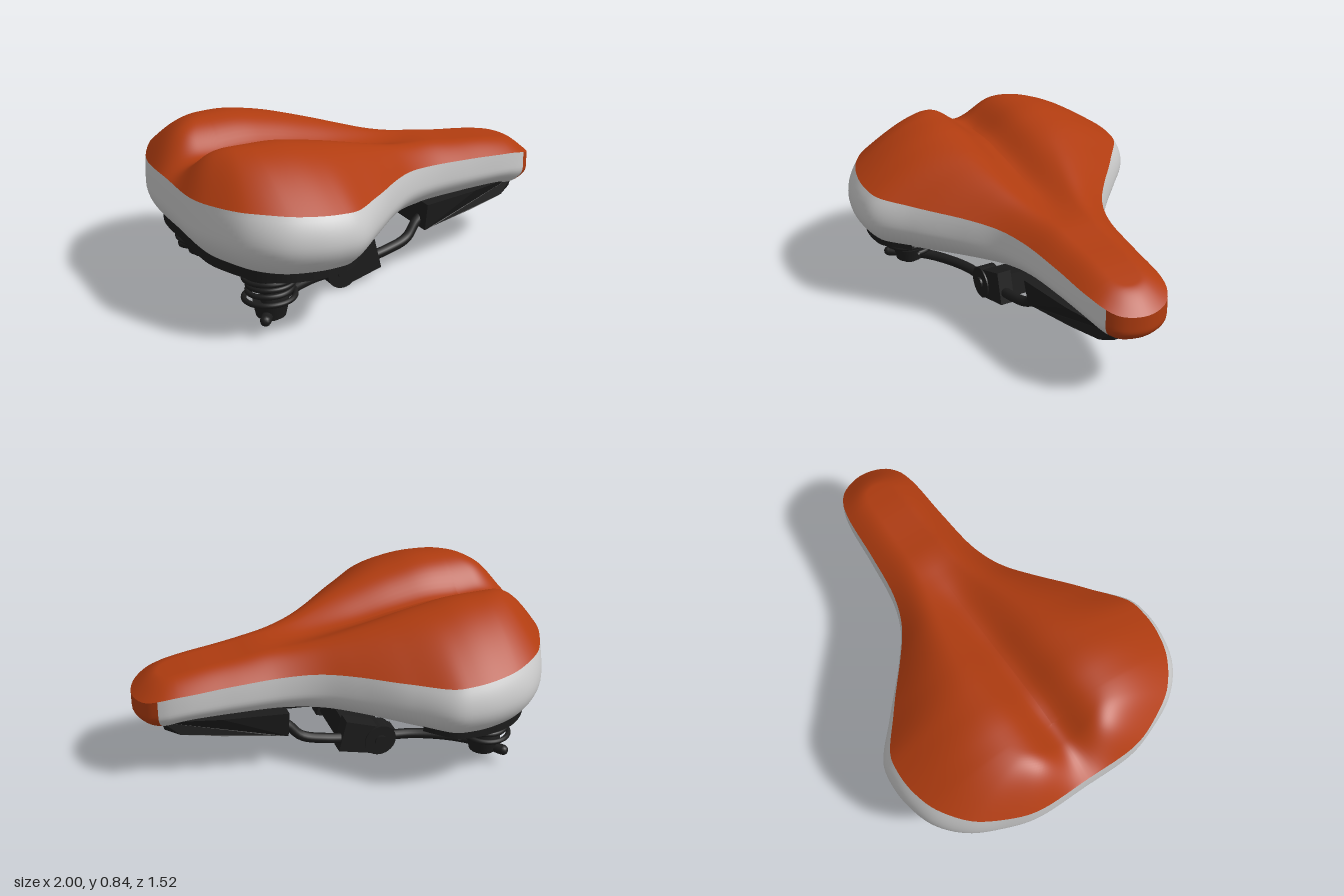
import * as THREE from 'three';

const paint = (color) => new THREE.MeshStandardMaterial({ color, side: THREE.DoubleSide });
const { lerp, clamp } = THREE.MathUtils;

// Linear lookup in a table of [x, value] pairs
function table(pairs, x) {
  let i = 1;
  while (i < pairs.length - 1 && x > pairs[i][0]) i++;
  const [a, b] = [pairs[i - 1], pairs[i]];
  return lerp(a[1], b[1], clamp((x - a[0]) / (b[0] - a[0]), 0, 1));
}

// Smooth lookup: averages the linear one over a small window
function smooth(pairs, x, r = 0.06) {
  let sum = 0;
  for (let k = -4; k <= 4; k++) sum += table(pairs, x + (k * r) / 4);
  return sum / 9;
}

// Plan outline of the saddle, tail to nose, mirrored across z
const HALF = [[-0.995, 0.28], [-0.95, 0.43], [-0.87, 0.59], [-0.75, 0.7], [-0.6, 0.75], [-0.47, 0.757],
  [-0.37, 0.735], [-0.2, 0.59], [0, 0.41], [0.15, 0.3], [0.3, 0.245], [0.55, 0.215], [0.8, 0.195],
  [0.9, 0.168], [0.965, 0.115]];
const outlinePoints = [[-1, 0], ...HALF, [1, 0], ...HALF.slice().reverse().map(([x, z]) => [x, -z])];
const N = 200;
const curve = new THREE.CatmullRomCurve3(outlinePoints.map(([x, z]) => new THREE.Vector3(x, 0, z)), true);
const outline = Array.from({ length: N }, (_, i) => {
  const p = curve.getPointAt(i / N), t = curve.getTangentAt(i / N);
  return { x: p.x, z: p.z, nx: t.z, nz: -t.x };
});

// Heights and insets along the length
const seamY = (x) => smooth([[-1, 0.645], [-0.85, 0.655], [-0.6, 0.635], [-0.3, 0.61], [0, 0.59], [0.3, 0.555],
  [0.6, 0.535], [0.85, 0.515], [0.93, 0.49], [1, 0.46]], x);
const ridgeY = (x) => smooth([[-0.7, 0.84], [-0.55, 0.838], [-0.3, 0.79], [0, 0.715], [0.3, 0.645], [0.5, 0.612],
  [0.7, 0.592], [0.85, 0.565], [0.95, 0.54]], x);
const grooveDepth = (x) => smooth([[-1, 0.12], [-0.7, 0.13], [-0.2, 0.1], [0.1, 0.06], [0.35, 0]], x);
const seamInset = (x) => smooth([[-1, 0], [-0.95, 0.01], [-0.8, 0.045], [-0.4, 0.045], [-0.1, 0.015], [0.2, 0.008], [1, 0]], x);
const bottomY = (x) => smooth([[-1, 0.34], [0.78, 0.33], [0.9, 0.3]], x);

const inset = (o, d, y) => [o.x + o.nx * d, y, o.z + o.nz * d];

// Surface over rows x outline columns [from, to]; columns wrap round the outline
function sheet(name, rows, point, from, to, material) {
  const positions = [], index = [], closed = to - from === N;
  const cols = to - from + (closed ? 0 : 1);
  for (let r = 0; r <= rows; r++)
    for (let c = 0; c < cols; c++) positions.push(...point(outline[(from + c + N) % N], r / rows));
  for (let r = 0; r < rows; r++)
    for (let c = 0; c < to - from; c++) {
      const d = (c + 1) % cols, a = r * cols, b = a + cols;
      index.push(a + c, b + c, a + d, a + d, b + c, b + d);
    }
  const g = new THREE.BufferGeometry();
  g.setAttribute('position', new THREE.Float32BufferAttribute(positions, 3));
  g.setIndex(index);
  g.computeVertexNormals();
  return mesh(name, g, material);
}

function mesh(name, geometry, material) {
  const m = new THREE.Mesh(geometry, material);
  m.name = name;
  return m;
}

// Padded top: spine to seam, with two crowns and a central groove
function padPoint(o, s) {
  const v = 1 - s;
  const [ex, , ez] = inset(o, seamInset(o.x), 0);
  const x = lerp(ex, clamp(ex, -0.7, 0.8), v), z = ez * s;
  const crown = ridgeY(x) - grooveDepth(x) * Math.exp(-((z / 0.13) ** 2));
  const f = Math.sin((Math.PI / 2) * Math.min(1, v / 0.65));
  return [x, lerp(seamY(o.x), crown, f), z];
}

// Bulging side wall: seam to bottom edge
function wallPoint(o, s) {
  const d = s < 0.45 ? seamInset(o.x) * (1 - s / 0.45) ** 2 : 0.1 * ((s - 0.45) / 0.55) ** 2;
  return inset(o, d, lerp(seamY(o.x), bottomY(o.x), s));
}

// Hollow underside: bottom edge to spine
function underPoint(o, s) {
  const [ex, , ez] = inset(o, 0.1, 0);
  return [lerp(ex, clamp(ex, -0.7, 0.75), s), lerp(bottomY(o.x), 0.46, Math.sin((s * Math.PI) / 2)), ez * (1 - s)];
}

// Flat profile pushed along z, centred on the given z
function slab(name, points, z, depth, material) {
  const g = new THREE.ExtrudeGeometry(new THREE.Shape(points.map(([x, y]) => new THREE.Vector2(x, y))),
    { depth, bevelEnabled: false });
  g.translate(0, 0, z - depth / 2);
  return mesh(name, g, material);
}

function tube(name, points, radius, segments, material) {
  const path = new THREE.CatmullRomCurve3(points.map((p) => new THREE.Vector3(...p)));
  return mesh(name, new THREE.TubeGeometry(path, segments, radius, 12), material);
}

function cylinder(name, r1, r2, h, position, material) {
  const m = mesh(name, new THREE.CylinderGeometry(r1, r2, h, 32), material);
  m.position.set(...position);
  return m;
}

export function createModel() {
  const group = new THREE.Group();
  const orange = paint(0xb03c10), grey = paint(0xcccccc), black = paint(0x1c1c1c);
  const flatBlack = paint(0x1c1c1c);
  flatBlack.flatShading = true;

  // Padding and shell
  const noseStart = outline.findIndex((o) => o.x > 0.895);
  group.add(
    sheet('seatPad', 32, padPoint, 0, N, orange),
    sheet('sideWall', 14, wallPoint, -noseStart, noseStart, grey),
    sheet('noseCap', 14, wallPoint, noseStart, N - noseStart, orange),
    sheet('underside', 12, underPoint, 0, N, grey));

  // Base rail around the rear
  const railEnd = outline.findIndex((o) => o.x > -0.25 && o.z > 0);
  const railProfile = [[0.075, 0.36], [0.075, 0], [0.16, 0], [0.16, 0.37], [0.075, 0.36]];
  group.add(sheet('baseRail', 4, (o, s) => {
    const [d, y] = railProfile[Math.round(s * 4)];
    return inset(o, d, y || lerp(0.31, 0.335, clamp(o.x + 1, 0, 1)));
  }, -railEnd, railEnd, flatBlack));

  // Nose bracket, tapered towards the tip
  const bracket = slab('noseBracket', [[0.28, 0.2], [0.34, 0.21], [0.6, 0.24], [0.8, 0.268], [0.87, 0.295],
    [0.88, 0.34], [0.6, 0.345], [0.28, 0.345]], 0, 2, flatBlack);
  const pos = bracket.geometry.attributes.position;
  for (let i = 0; i < pos.count; i++) {
    const w = table([[0.28, 0.23], [0.6, 0.18], [0.8, 0.14], [0.88, 0.1]], pos.getX(i));
    pos.setZ(i, pos.getZ(i) * w * (pos.getY(i) < 0.3 ? 0.9 : 1));
  }
  bracket.geometry.computeVertexNormals();
  group.add(bracket);

  // Clamp bridge between the rails
  group.add(slab('clampBridge', [[-0.2, 0.06], [0, 0.08], [-0.02, 0.2], [-0.22, 0.14]], 0, 0.32, black));

  for (const side of [1, -1]) {
    // Suspension springs with mounts and cups
    const x = -0.68, z = 0.41 * side;
    group.add(cylinder('springMount', 0.14, 0.13, 0.075, [x, 0.312, z], black));
    const coil = Array.from({ length: 73 }, (_, i) => {
      const a = (i / 72) * Math.PI * 8, r = 0.115 + 0.012 * Math.cos((i / 72) * Math.PI * 2);
      return [x + r * Math.cos(a), 0.275 - 0.14 * (i / 72), z + r * Math.sin(a) * side];
    });
    group.add(
      tube('spring', coil, 0.013, 220, black),
      cylinder('springCore', 0.04, 0.05, 0.18, [x, 0.2, z], black),
      cylinder('springCup', 0.085, 0.07, 0.07, [x, 0.095, z], black),
      cylinder('springNut', 0.045, 0.04, 0.03, [x, 0.055, z], black));

    // Support rail from bracket through the clamp to the spring
    const rail = [[0.36, 0.28, 0.13], [0.27, 0.23, 0.14], [0.2, 0.16, 0.16], [0.08, 0.13, 0.18], [-0.2, 0.09, 0.19],
      [-0.38, 0.08, 0.21], [-0.55, 0.08, 0.29], [-0.66, 0.08, 0.38], [-0.75, 0.08, 0.5]];
    group.add(tube('supportRail', rail.map(([a, b, c]) => [a, b, c * side]), 0.026, 60, black));
    const tip = mesh('railTip', new THREE.SphereGeometry(0.026, 12, 8), black);
    tip.position.set(-0.75, 0.08, 0.5 * side);
    group.add(tip);

    // Clamp cheek and bolt disc
    group.add(slab('clampCheek', [[-0.28, 0.13], [-0.02, 0.225], [0.02, 0.06], [-0.18, 0.005]], 0.18 * side, 0.075, black));
    const disc = cylinder('clampDisc', 0.083, 0.083, 0.09, [-0.2, 0.083, 0.18 * side], black);
    disc.rotation.x = Math.PI / 2;
    const bolt = cylinder('clampBolt', 0.03, 0.03, 0.11, [-0.2, 0.083, 0.18 * side], black);
    bolt.rotation.x = Math.PI / 2;
    group.add(disc, bolt);
  }
  return group;
}
